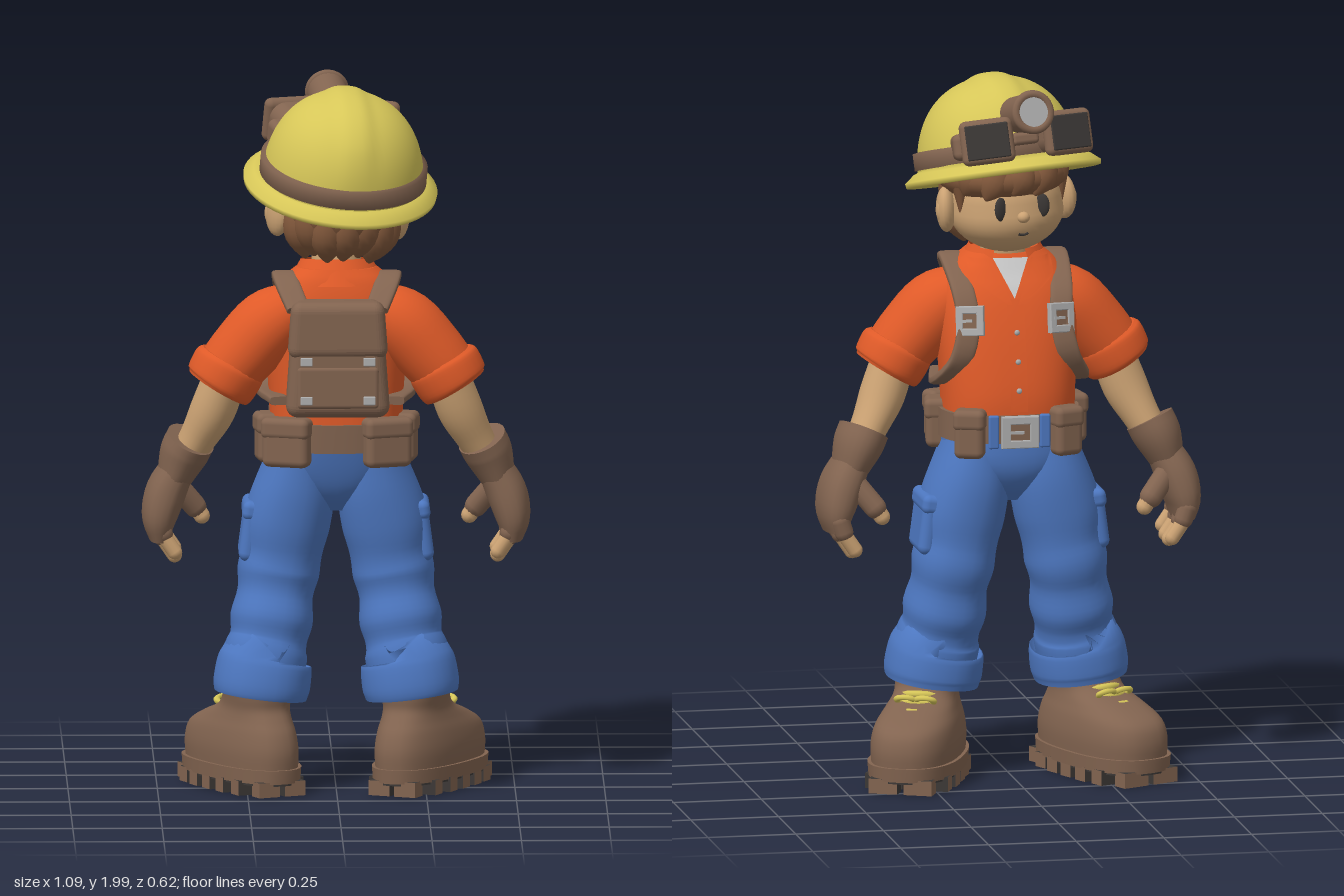
import * as THREE from 'three';
import { RoundedBoxGeometry } from 'three/addons/geometries/RoundedBoxGeometry.js';

const mat = (name, color, side = THREE.FrontSide) => {
  const m = new THREE.MeshStandardMaterial({ color, side });
  m.name = name;
  return m;
};
const V = (x, y, z) => new THREE.Vector3(x, y, z);

// Smooth interpolation through rings [x, y, z, halfWidth, halfDepth]
function sampler(rings) {
  const c = new THREE.CatmullRomCurve3(rings.map(r => V(r[0], r[1], r[2])), false, 'catmullrom');
  const s = new THREE.CatmullRomCurve3(rings.map(r => V(r[3], r[4], 0)), false, 'catmullrom');
  return t => ({ p: c.getPoint(t), tan: c.getTangent(t), a: s.getPoint(t).x, b: s.getPoint(t).y });
}

// Capped skin over superelliptic rings strung along a path
function loft(rings, { n = 24, power = 2, ref = V(0, 0, 1), flat = false, steps = 4 } = {}) {
  const at = sampler(rings), m = (rings.length - 1) * steps, pos = [], idx = [];
  const se = v => Math.sign(v) * Math.abs(v) ** (2 / power);
  const ring = i => {
    const { p, tan, a, b } = at(i / m);
    const t = flat ? V(0, 1, 0) : tan;
    const u = t.clone().cross(ref).normalize(), v = u.clone().cross(t);
    for (let j = 0; j < n; j++) {
      const th = j / n * Math.PI * 2;
      const q = p.clone().addScaledVector(u, a * se(Math.cos(th))).addScaledVector(v, b * se(Math.sin(th)));
      pos.push(q.x, q.y, q.z);
    }
    return p;
  };
  for (let i = 0; i <= m; i++) ring(i);
  for (let i = 0; i < m; i++) for (let j = 0; j < n; j++) {
    const k = (j + 1) % n, A = i * n + j, C = i * n + k;
    idx.push(A, A + n, C, C, A + n, C + n);
  }
  for (const end of [0, m]) {
    const base = pos.length / 3, p = ring(end);
    pos.push(p.x, p.y, p.z);
    for (let j = 0; j < n; j++) {
      const k = (j + 1) % n;
      idx.push(base + n, base + (end ? k : j), base + (end ? j : k));
    }
  }
  const g = new THREE.BufferGeometry();
  g.setAttribute('position', new THREE.Float32BufferAttribute(pos, 3));
  g.setIndex(idx);
  g.computeVertexNormals();
  return g;
}

// Moves every vertex of a geometry by a rule
function bend(g, rule) {
  const q = g.attributes.position;
  for (let i = 0; i < q.count; i++) q.setXYZ(i, ...rule(q.getX(i), q.getY(i), q.getZ(i)));
  g.computeVertexNormals();
  return g;
}

export function createModel() {
  const root = new THREE.Group();
  root.name = 'explorer';
  const yellow = mat('helmet yellow', 0xd6c658), orange = mat('shirt orange', 0xdf5a28, THREE.DoubleSide),
    blue = mat('denim blue', 0x4d77c0), brown = mat('leather brown', 0x826450),
    hairM = mat('hair brown', 0x83593c), skin = mat('skin', 0xcba273), dark = mat('dark', 0x3c3836),
    grey = mat('metal grey', 0xaeaeae), white = mat('undershirt white', 0xc9c9c9, THREE.DoubleSide);

  const add = (parent, name, geo, m, p = [0, 0, 0], r = [0, 0, 0], s = [1, 1, 1]) => {
    const o = new THREE.Mesh(geo, m);
    o.name = name;
    o.position.set(...p); o.rotation.set(...r); o.scale.set(...s);
    parent.add(o);
    return o;
  };
  const group = (name, p, r, parent = root) => {
    const g = new THREE.Group();
    g.name = name; g.position.set(...p); g.rotation.set(...r);
    parent.add(g);
    return g;
  };
  const box = (w, h, d, r = 0.012) => new RoundedBoxGeometry(w, h, d, 4, r);
  const ball = (n = 24) => new THREE.SphereGeometry(1, n, Math.ceil(n * 0.7));
  const capsule = (parent, name, m, a, b, r) => {
    const A = V(...a), d = V(...b).sub(A), o = add(parent, name, new THREE.CapsuleGeometry(r, d.length(), 5, 12), m);
    o.position.copy(A).addScaledVector(d, 0.5);
    o.quaternion.setFromUnitVectors(V(0, 1, 0), d.normalize());
  };
  // Rectangular buckle frame with a hole and a pin
  const buckle = (parent, name, w, h, p, r = [0, 0, 0]) => {
    const rect = (S, k) => new S([[-1, -1], [1, -1], [1, 1], [-1, 1]].map(([x, y]) => new THREE.Vector2(x * w * k, y * h * k)));
    const s = rect(THREE.Shape, 0.5);
    s.holes.push(rect(THREE.Path, 0.3));
    const g = group(name, p, r);
    add(g, 'frame', new THREE.ExtrudeGeometry(s, { depth: 0.014, bevelSize: 0.003, bevelThickness: 0.003, bevelSegments: 2 }), grey);
    add(g, 'pin', new THREE.BoxGeometry(w * 0.5, 0.008, 0.01), grey, [w * 0.15, 0, 0]);
    add(g, 'backing', box(w * 0.8, h * 0.8, 0.02, 0.004), brown, [0, 0, 0.012]);
    parent.add(g);
  };

  // Shirt body
  const torso = [[0, 1.02, -0.002, 0.185, 0.168], [0, 1.11, -0.002, 0.188, 0.167], [0, 1.25, 0.012, 0.196, 0.154],
    [0, 1.37, 0.035, 0.192, 0.138], [0, 1.445, 0.05, 0.155, 0.11], [0, 1.485, 0.052, 0.11, 0.09]];
  add(root, 'shirt', loft(torso, { n: 40, power: 2.5, flat: true }), orange);
  const at = sampler(torso);
  const front = (x, y) => {
    let t = 0;
    while (t < 1 && at(t).p.y < y) t += 0.004;
    const { p, a, b } = at(Math.min(t, 1));
    return p.z - b * Math.max(0, 1 - Math.min(1, Math.abs(x) / a) ** 2.5) ** 0.4;
  };
  // Thin cloth lying on the chest, between two x edges
  const chestPlate = (name, m, y0, y1, left, right, off) => {
    const cloth = bend(new THREE.PlaneGeometry(1, 1, 6, 8), (px, py) => {
      const t = py + 0.5, x = left(t) + (right(t) - left(t)) * (px + 0.5), y = y0 + (y1 - y0) * t;
      return [x, y, front(x, y) - off];
    });
    add(root, name, cloth, m);
  };
  chestPlate('undershirt', white, 1.37, 1.475, t => -0.05 * t, t => 0.05 * t, 0.007);
  chestPlate('buttonPlacket', orange, 1.06, 1.37, () => -0.024, () => 0.024, 0.008);
  for (let i = 0; i < 3; i++) add(root, 'shirtButton', ball(10), grey, [0, 1.12 + i * 0.08, front(0, 1.12 + i * 0.08) - 0.01], [0, 0, 0], [0.008, 0.008, 0.005]);
  add(root, 'collar', new THREE.CylinderGeometry(0.1, 0.14, 0.075, 32, 2, true, Math.PI + 0.45, Math.PI * 2 - 0.9), orange, [0, 1.467, 0.045], [-0.1, 0, 0], [1, 1, 0.85]);
  add(root, 'neck', loft([[0, 1.42, 0.04, 0.075, 0.07], [0, 1.56, 0.02, 0.065, 0.065]]), skin);

  // Pelvis and belt
  add(root, 'trouserSeat', loft([[0, 0.79, -0.02, 0.04, 0.06], [0, 0.84, -0.02, 0.12, 0.115], [0, 0.91, -0.018, 0.185, 0.146], [0, 1.03, 0, 0.186, 0.16]], { power: 2.3, flat: true, n: 32 }), blue);
  add(root, 'belt', loft([[0, 0.97, 0, 0.198, 0.172], [0, 1.05, 0, 0.198, 0.175]], { power: 2.5, flat: true, n: 40 }), brown);
  buckle(root, 'beltBuckle', 0.1, 0.085, [0, 1.005, -0.194]);
  for (const s of [-1, 1]) {
    for (const [x, z, yaw, w] of [[0.14, 0.152, 0.35, 0.135], [0.137, -0.158, -0.35, 0.085], [0.195, 0.04, 1.4, 0.09]]) {
      const p = group('beltPouch', [s * x, 0.998, z], [0, s * yaw, 0]);
      add(p, 'pouchBody', box(w, 0.135, 0.06, 0.02), brown);
      add(p, 'pouchFlap', box(w + 0.006, 0.06, 0.068, 0.018), brown, [0, 0.042, 0]);
    }
    add(root, 'beltLoop', box(0.03, 0.095, 0.016, 0.006), blue, [s * 0.073, 1.005, -0.176]);
  }

  // Backpack, tapered towards the top
  const taper = g => bend(g, (x, y, z) => [x * (1 - 0.5 * (y + 0.1)), y, z]);
  const pack = group('backpack', [0, 1.25, 0.235], [0, 0, 0]);
  add(pack, 'packBody', taper(box(0.285, 0.325, 0.13, 0.035)), brown);
  add(pack, 'packFlap', taper(box(0.285, 0.16, 0.085, 0.03)), brown, [0, 0.085, 0.03]);
  add(pack, 'packPocket', box(0.23, 0.12, 0.03, 0.012), brown, [0, -0.075, 0.055]);
  for (const s of [-1, 1]) for (const y of [0, -0.11])
    add(pack, 'packBuckle', box(0.034, 0.024, 0.008, 0.003), grey, [s * 0.088, y, 0.073]);

  for (const s of [-1, 1]) {
    const L = (name, rings, m, opt) => add(root, name, loft(rings.map(r => [r[0] * s, ...r.slice(1)]), opt), m);
    chestPlate('lapel', orange, 1.355, 1.475, t => s * (0.008 + 0.05 * t), t => s * (0.02 + 0.1 * Math.min(1, t * 1.7)), 0.014);

    // Shoulder strap
    L('shoulderStrap', [[0.11, 1.385, 0.21, 0.012, 0.032], [0.14, 1.448, 0.13, 0.012, 0.034], [0.148, 1.46, 0.05, 0.012, 0.034],
      ...[[0.14, 1.39], [0.132, 1.3], [0.155, 1.2]].map(([x, y]) => [x, y, front(x, y) - 0.008, 0.012, 0.032]),
      [0.198, 1.13, -0.03, 0.012, 0.028], [0.16, 1.12, 0.17, 0.012, 0.028]], brown, { ref: V(1, 0, 0), power: 4 });
    buckle(root, 'strapBuckle', 0.074, 0.078, [s * 0.132, 1.315, front(0.132, 1.315) - 0.03], [0.15, -s * 0.4, 0]);

    // Arm
    L('sleeve', [[0.11, 1.37, 0.055, 0.075, 0.092], [0.185, 1.325, 0.068, 0.098, 0.11], [0.255, 1.25, 0.073, 0.098, 0.108], [0.315, 1.18, 0.075, 0.09, 0.102]], orange);
    L('sleeveCuff', [[0.292, 1.22, 0.075, 0.092, 0.104], [0.3, 1.205, 0.075, 0.104, 0.112], [0.324, 1.16, 0.075, 0.102, 0.112], [0.333, 1.145, 0.075, 0.092, 0.102]], orange);
    L('forearm', [[0.31, 1.18, 0.07, 0.06, 0.07], [0.345, 1.08, 0.055, 0.064, 0.07], [0.385, 1.0, 0.03, 0.053, 0.063], [0.43, 0.92, 0.005, 0.045, 0.06]], skin);
    L('gloveCuff', [[0.407, 0.988, 0.01, 0.07, 0.1], [0.427, 0.945, 0, 0.068, 0.1], [0.452, 0.88, -0.004, 0.05, 0.085]], brown);
    L('gloveHand', [[0.44, 0.91, 0, 0.048, 0.08], [0.475, 0.84, -0.01, 0.057, 0.1], [0.494, 0.77, -0.015, 0.05, 0.106], [0.494, 0.71, -0.02, 0.03, 0.092]], brown, { power: 2.4 });
    [-0.096, -0.047, 0.003, 0.052].forEach((z, i) => {
      const d = [0.012, 0, 0.004, 0.02][i];
      capsule(root, 'gloveFinger', brown, [s * 0.494, 0.75, z], [s * 0.484, 0.708 + d, z], 0.027);
      capsule(root, 'fingertip', skin, [s * 0.482, 0.7 + d, z], [s * 0.452, 0.656 + d, z], 0.021);
    });
    capsule(root, 'gloveThumb', brown, [s * 0.445, 0.85, -0.06], [s * 0.393, 0.785, -0.085], 0.032);
    capsule(root, 'thumbTip', skin, [s * 0.388, 0.78, -0.087], [s * 0.374, 0.758, -0.088], 0.023);

    // Trouser leg with soft folds
    L('trouserLeg', [[0.1, 0.95, -0.015, 0.088, 0.135], [0.115, 0.85, -0.022, 0.113, 0.143], [0.138, 0.75, -0.025, 0.122, 0.138], [0.15, 0.67, -0.028, 0.112, 0.128],
      [0.161, 0.61, -0.028, 0.115, 0.132], [0.17, 0.55, -0.02, 0.106, 0.122], [0.18, 0.48, -0.008, 0.116, 0.134], [0.189, 0.425, 0.002, 0.108, 0.122],
      [0.198, 0.38, 0.01, 0.118, 0.132], [0.207, 0.29, 0.017, 0.11, 0.13]], blue, { n: 28, power: 2.2 });
    L('trouserCuff', [[0.197, 0.372, 0.011, 0.112, 0.128], [0.199, 0.364, 0.012, 0.131, 0.147], [0.208, 0.3, 0.018, 0.136, 0.154], [0.212, 0.268, 0.019, 0.13, 0.148]], blue, { n: 28, power: 2.2 });
    const pocket = group('cargoPocket', [s * 0.24, 0.73, -0.03], [0, 0, s * 0.13]);
    add(pocket, 'pocketBody', box(0.05, 0.17, 0.17, 0.024), blue);
    add(pocket, 'pocketFlap', box(0.06, 0.055, 0.18, 0.02), blue, [0, 0.06, 0]);

    // Boot, toe wider than heel and turned outwards
    const boot = group('boot', [s * 0.222, 0, 0.02], [0, -s * 0.44, 0]);
    const foot = (name, rings, m) => add(boot, name, bend(loft(rings.map(r => [0, ...r]), { flat: true, power: 2.4, n: 36 }),
      (x, y, z) => [x * (1 - 0.55 * (z + 0.075)), y, z]), m);
    foot('bootUpper', [[0.06, -0.078, 0.114, 0.242], [0.12, -0.078, 0.117, 0.244], [0.17, -0.074, 0.11, 0.226], [0.205, -0.048, 0.098, 0.178],
      [0.235, -0.012, 0.09, 0.125], [0.265, 0.006, 0.092, 0.108], [0.3, 0.008, 0.098, 0.108]], brown);
    foot('sole', [[0.036, -0.078, 0.122, 0.25], [0.075, -0.078, 0.125, 0.253]], brown);
    foot('soleBottom', [[0.03, -0.078, 0.118, 0.245], [0.037, -0.078, 0.118, 0.245]], dark);
    for (let i = 0; i < 7; i++) for (const k of [-1, 1]) {
      const z = 0.138 - i * 0.072, w = 0.12 * (1 - Math.abs((z + 0.078) / 0.255) ** 3) ** 0.42 * (1 - 0.55 * (z + 0.075));
      // Only the faces on the outer edge share the colour of the sole
      const faces = [k > 0 ? brown : dark, k < 0 ? brown : dark, dark, dark, i === 0 ? brown : dark, i === 6 ? brown : dark];
      add(boot, 'treadLug', new THREE.BoxGeometry(w * 0.9, 0.042, 0.048), faces, [k * w * 0.55, 0.021, z]);
    }
    for (const [y, z] of [[0.25, -0.118], [0.232, -0.148], [0.212, -0.19]]) {
      const c = new THREE.QuadraticBezierCurve3(V(-0.055, y - 0.012, z + 0.03), V(0, y + 0.005, z - 0.022), V(0.055, y - 0.012, z + 0.03));
      add(boot, 'lace', new THREE.TubeGeometry(c, 12, 0.011, 8), yellow);
    }
    for (const k of [-1, 1]) add(boot, 'laceBow', new THREE.TorusGeometry(0.019, 0.008, 8, 16), yellow, [k * 0.028, 0.236, -0.145], [-0.9, 0, 0], [1.3, 0.8, 1]);
  }

  // Head with a full jaw
  const head = group('head', [0.005, 1.63, -0.005], [0, 0.12, -0.05]);
  add(head, 'face', bend(ball(36), (x, y, z) => {
    const k = 1 + 0.09 * Math.max(0, -y) * (1 - y * y) * 2;
    return [x * k * 0.158, y * 0.14, z * k * 0.154 - Math.max(0, -y) * 0.008];
  }), skin);
  add(head, 'nose', ball(14), skin, [0, -0.018, -0.158], [0, 0, 0], [0.018, 0.016, 0.018]);
  add(head, 'mouth', new THREE.TorusGeometry(0.026, 0.004, 6, 12, 1.2), dark, [0, -0.045, -0.154], [-0.3, 0, Math.PI * 1.5 - 0.6]);
  add(head, 'hairBack', ball(28), hairM, [0, 0.03, 0.075], [0, 0, 0], [0.166, 0.14, 0.155]);
  add(head, 'hairCap', ball(28), hairM, [0, 0.085, 0.02], [0, 0, 0], [0.188, 0.085, 0.195]);
  for (const s of [-1, 1]) {
    add(head, 'eye', ball(16), dark, [s * 0.06, 0.008, -0.1425], [0, s * 0.4, 0], [0.022, 0.034, 0.009]);
    add(head, 'eyebrow', box(0.05, 0.014, 0.012, 0.005), hairM, [s * 0.06, 0.06, -0.13], [-0.4, s * 0.38, s * 0.1]);
    add(head, 'ear', ball(18), skin, [s * 0.172, -0.008, 0.015], [0, -s * 0.35, 0], [0.028, 0.065, 0.05]);
    add(head, 'earHollow', ball(14), skin, [s * 0.188, -0.008, 0.0], [0, -s * 0.35, 0], [0.018, 0.035, 0.022]);
    add(head, 'sideburn', new THREE.ConeGeometry(0.04, 0.11, 12), hairM, [s * 0.148, 0.03, -0.045], [Math.PI, 0, 0], [0.6, 1, 1]);
  }
  // Blunt locks, pointed at the lower end
  const lock = () => bend(ball(16), (x, y, z) => {
    const k = y < 0 ? 1 - 0.55 * y * y : 1;
    return [x * k, y, z * k];
  });
  for (let i = 0; i < 7; i++) {
    const a = (i - 3) * 0.43, drop = [0.01, 0, 0.016][i % 3];
    add(head, 'napeLock', lock(), hairM, [Math.sin(a) * 0.118, -0.03 - drop, 0.07 + Math.cos(a) * 0.095], [0.3 * Math.cos(a), 0, -0.2 * Math.sin(a)], [0.052, 0.085, 0.055]);
  }
  for (let i = 0; i < 5; i++) {
    const a = (i - 2) * 0.5;
    add(head, 'fringeLock', lock(), hairM, [Math.sin(a) * 0.145, 0.088, -Math.cos(a) * 0.148], [0.2, -a * 0.6, 0.55], [0.045, 0.05 + (i % 2) * 0.012, 0.035]);
  }

  // Helmet with a broad pressed ridge
  const helmet = group('helmet', [0.012, 1.712, 0], [0.25, 0.12, -0.085]);
  const dome = bend(new THREE.SphereGeometry(1, 72, 32, 0, Math.PI * 2, 0, Math.PI / 2), (x, y, z) => {
    const fade = Math.min(1, Math.max(0, (y - 0.25) * 2.5));
    const full = 1 + 0.16 * y * y * (1 - y * y), k = 1 + fade * 0.035 * Math.exp(-((x / 0.2) ** 4));
    return [x * k * full * 0.228, y * k * full * 0.272, 0.03 + z * k * full * 0.242];
  });
  add(helmet, 'helmetDome', dome, yellow);
  const brim = [[0.185, 0.012], [0.235, 0.004], [0.26, -0.016], [0.27, -0.014], [0.272, 0], [0.245, 0.022], [0.215, 0.034], [0.185, 0.012]];
  add(helmet, 'helmetBrim', new THREE.LatheGeometry(brim.map(p => new THREE.Vector2(...p)), 56), yellow, [0, 0, 0], [0, 0, 0], [1, 1, 1.15]);
  const band = [[0.215, 0.032], [0.234, 0.032], [0.234, 0.08], [0.21, 0.085]];
  add(helmet, 'helmetBand', new THREE.LatheGeometry(band.map(p => new THREE.Vector2(...p)), 56), brown, [0, 0, 0.03], [0, 0, 0], [1, 1, 1.065]);

  // Goggles and lamp
  for (const s of [-1, 1]) {
    const g = group('goggle', [s * 0.108, 0.083, -0.212], [0, -s * 0.22, 0], helmet);
    add(g, 'goggleCup', box(0.132, 0.115, 0.13, 0.045), brown);
    add(g, 'goggleRim', box(0.15, 0.126, 0.04, 0.0195), brown, [0, 0, -0.048]);
    add(g, 'goggleLens', box(0.122, 0.098, 0.009, 0.004), dark, [0, 0, -0.066]);
    add(g, 'goggleHinge', box(0.06, 0.075, 0.12, 0.02), brown, [s * 0.06, -0.005, 0.07]);
  }
  add(helmet, 'goggleBridge', box(0.08, 0.035, 0.05), brown, [0, 0.08, -0.225]);
  add(helmet, 'lampBody', new THREE.CylinderGeometry(0.056, 0.052, 0.16, 28), brown, [-0.008, 0.148, -0.235], [-Math.PI / 2, 0, 0]);
  add(helmet, 'lampRim', new THREE.TorusGeometry(0.05, 0.012, 10, 28), brown, [-0.008, 0.148, -0.314]);
  add(helmet, 'lampLens', new THREE.CylinderGeometry(0.047, 0.047, 0.008, 28), grey, [-0.008, 0.148, -0.318], [Math.PI / 2, 0, 0]);
  return root;
}
